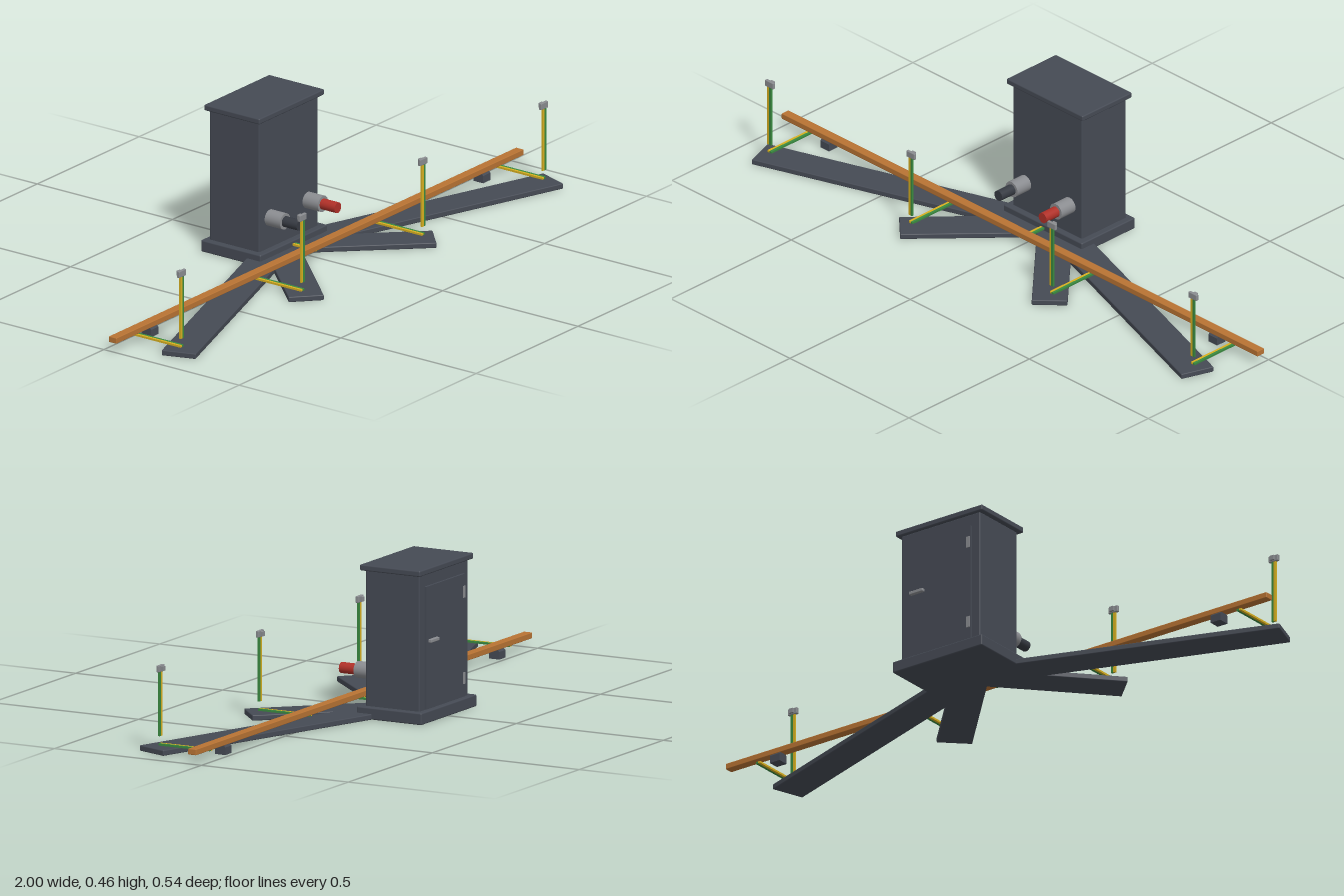
import * as THREE from 'three';
import { RoundedBoxGeometry } from 'three/addons/geometries/RoundedBoxGeometry.js';

const material = (name, color) => Object.assign(new THREE.MeshStandardMaterial({ color }), { name });

export function createModel() {
  const model = new THREE.Group();
  model.name = 'cabinetWithBusbar';

  const slate = material('slate', 0x454a54);
  const charcoal = material('charcoal', 0x363a42);
  const steel = material('steel', 0x8a8c90);
  const copper = material('copper', 0xb87333);
  const red = material('red', 0xb03028);
  const yellow = material('yellow', 0xd8b020);
  const green = material('green', 0x3a8a40);

  const add = (name, geometry, mat) => {
    const mesh = new THREE.Mesh(geometry, mat);
    mesh.name = name;
    model.add(mesh);
    return mesh;
  };
  // Box given by its lower and upper corners, optionally with softened edges
  const box = (name, mat, [x0, y0, z0], [x1, y1, z1], radius = 0) => {
    const size = [x1 - x0, y1 - y0, z1 - z0];
    const geometry = radius
      ? new RoundedBoxGeometry(...size, 2, radius)
      : new THREE.BoxGeometry(...size);
    const mesh = add(name, geometry, mat);
    mesh.position.set((x0 + x1) / 2, (y0 + y1) / 2, (z0 + z1) / 2);
    return mesh;
  };

  // Cabinet
  box('plinth', slate, [-0.165, 0, -0.271], [0.165, 0.036, -0.05], 0.004);
  box('cabinetBody', slate, [-0.145, 0.03, -0.253], [0.145, 0.447, -0.07], 0.004);
  box('lid', slate, [-0.16, 0.445, -0.263], [0.16, 0.463, -0.058], 0.004);

  // Rear door with hinges and handle
  box('door', slate, [-0.115, 0.038, -0.26], [0.115, 0.408, -0.252]);
  for (const y of [0.077, 0.337]) {
    box('hinge', steel, [-0.113, y, -0.263], [-0.101, y + 0.035, -0.255]);
  }
  box('handle', steel, [0.055, 0.238, -0.271], [0.105, 0.248, -0.259], 0.002);

  // Flat feet fanning out from under the cabinet
  const hubZ = -0.103;
  for (const side of [-1, 1]) {
    for (const [x, z] of [[0.92, 0.216], [0.315, 0.2325]]) {
      const dx = side * x, dz = z - hubZ;
      const foot = add('foot', new RoundedBoxGeometry(Math.hypot(dx, dz), 0.017, 0.106, 2, 0.003), slate);
      foot.position.set(dx / 2, 0.0085, hubZ + dz / 2);
      foot.rotation.y = -Math.atan2(dz, dx);
    }
  }

  // Pipe stubs with collars on the cabinet front
  const pipe = (name, mat, x, z0, z1, radius) => {
    const mesh = add(name, new THREE.CylinderGeometry(radius, radius, z1 - z0, 24), mat);
    mesh.rotation.x = Math.PI / 2;
    mesh.position.set(x, 0.131, (z0 + z1) / 2);
  };
  for (const [x, mat] of [[-0.093, charcoal], [0.093, red]]) {
    pipe('pipeCollar', steel, x, -0.075, -0.013, 0.025);
    pipe('pipeStub', mat, x, -0.02, 0.042, 0.0165);
  }

  // Copper bar on two insulating blocks
  box('copperBar', copper, [-1, 0.028, 0.018], [1, 0.046, 0.046], 0.002);
  for (const side of [-1, 1]) {
    const shape = new THREE.Shape([
      [-0.0175, 0], [0.0175, 0], [0.0175, 0.023], [0.0125, 0.028], [-0.0125, 0.028], [-0.0175, 0.023],
    ].map(([a, b]) => new THREE.Vector2(a, b)));
    const geometry = new THREE.ExtrudeGeometry(shape, { depth: 0.036, bevelEnabled: false });
    geometry.translate(0, 0, -0.018).rotateY(Math.PI / 2);
    add('barSupport', geometry, slate).position.set(side * 0.815, 0, 0.0315);
  }

  // Two-colour earth wires: yellow half at -x, green half at +x
  const wire = (name, x, y0, y1, z0, z1) => {
    box(name + 'Yellow', yellow, [x - 0.008, y0, z0], [x, y1, z1]);
    box(name + 'Green', green, [x, y0, z0], [x + 0.008, y1, z1]);
  };
  wire('feedWire', 0, 0.021, 0.027, -0.05, 0.035);
  for (const x of [-0.889, -0.296, 0.296, 0.889]) {
    wire('branchWire', x, 0.021, 0.027, 0.03, 0.205);
    wire('risingWire', x, 0.049, 0.245, 0.201, 0.207);
    // Clamp at the top of each rising wire
    box('clampPlate', steel, [x - 0.017, 0.243, 0.198], [x + 0.017, 0.263, 0.208], 0.002);
    box('clampBolt', steel, [x - 0.007, 0.246, 0.19], [x + 0.007, 0.26, 0.199]);
  }

  return model;
}
